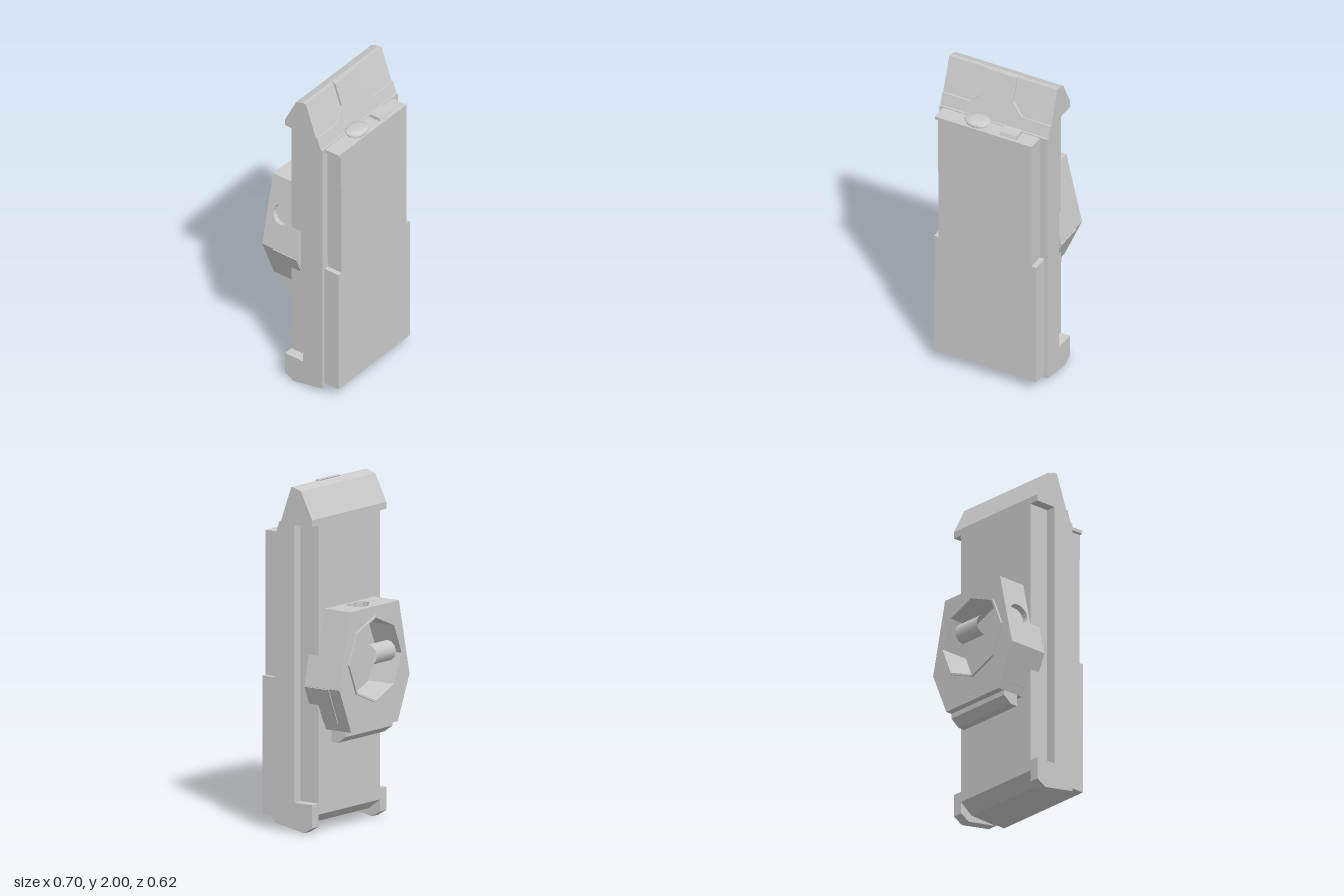
import * as THREE from 'three';

export function createModel() {
  const model = new THREE.Group();
  const mat = new THREE.MeshStandardMaterial({ color: 0xcccccc, flatShading: true });
  const openMat = new THREE.MeshStandardMaterial({ color: 0xcccccc, side: THREE.DoubleSide });

  const add = (name, geo, x = 0, y = 0, z = 0, material = mat) => {
    const mesh = new THREE.Mesh(geo, material);
    mesh.name = name;
    mesh.position.set(x, y, z);
    model.add(mesh);
    return mesh;
  };
  const toShape = (pts, hole) => {
    const shape = new THREE.Shape(pts.map(p => new THREE.Vector2(...p)));
    if (hole) shape.holes.push(new THREE.Path(hole.map(p => new THREE.Vector2(...p))));
    return shape;
  };
  const extrude = (pts, depth, hole) =>
    new THREE.ExtrudeGeometry(toShape(pts, hole), { depth, bevelEnabled: false });
  // profile points are [z, y], swept from x0 to x1
  const sweepX = (pts, x0, x1) => extrude(pts, x1 - x0).rotateY(-Math.PI / 2).translate(x1, 0, 0);
  const box = (name, x0, x1, y0, y1, z0, z1) =>
    add(name, new THREE.BoxGeometry(x1 - x0, y1 - y0, z1 - z0), (x0 + x1) / 2, (y0 + y1) / 2, (z0 + z1) / 2);
  const ring = (n, r, cx, cy, start = 0) => Array.from({ length: n }, (_, i) => {
    const a = start + i / n * Math.PI * 2;
    return [cx + r * Math.cos(a), cy + r * Math.sin(a)];
  });

  // Body: centre block, and side rails with a long channel cut in the back
  const head = [[-0.06, 1.82], [0.02, 1.978], [0.07, 1.995], [0.09, 1.995], [0.163, 1.79], [0.19, 1.72], [0.21, 1.72]];
  add('bodyCore', sweepX([[0.21, 0.04], [0.02, 0.045], [-0.06, 0.105], ...head], -0.29, 0.29));
  const rail = [[0.21, 0.04], [0, 0], [-0.06, 0.035], [-0.06, 0.17], [0.07, 0.17], [0.07, 1.78], [-0.06, 1.78], ...head];
  add('rightRail', sweepX(rail, -0.35, -0.29));
  add('leftRail', sweepX(rail, 0.29, 0.35));

  // Raised plate on the sloping head, sheared to follow the slope
  const plate = extrude([[-0.35, 1.72], [0.35, 1.72], [0.35, 1.79], [0.165, 1.79], [0.095, 1.86], [0.095, 2],
    [-0.095, 2], [-0.095, 1.86], [-0.165, 1.79], [-0.35, 1.79]], 0.03);
  const pos = plate.attributes.position;
  for (let i = 0; i < pos.count; i++) pos.setZ(i, pos.getZ(i) + 0.075 + (2 - pos.getY(i)) * 0.33);
  plate.computeVertexNormals();
  add('headPlate', plate);

  // Front panel, wider in its lower half, with a thin top flange
  add('frontPanel', extrude([[-0.33, 0.07], [0.33, 0.07], [0.33, 0.875], [0.3, 0.875], [0.3, 1.715],
    [-0.325, 1.715], [-0.325, 1.695], [-0.305, 1.695], [-0.3, 0.875], [-0.33, 0.875]], 0.1), 0, 0, 0.21);

  // Controls on top of the panel
  const knob = [[0, -0.01], [0.068, -0.01], [0.068, 0.012], [0.08, 0.02], [0.076, 0.027], [0.045, 0.037], [0, 0.04]];
  add('roundButton', new THREE.LatheGeometry(knob.map(p => new THREE.Vector2(...p)), 14).scale(1, 1, 0.8), -0.08, 1.715, 0.248);
  add('squareButton', sweepX([[0.295, 1.71], [0.21, 1.71], [0.22, 1.735], [0.285, 1.735]], 0.08, 0.19));

  // Rear housing: six wall slabs around a frame with an octagonal opening
  const hex = [[-0.23, 1.29], [0.23, 1.29], [0.33, 0.85], [0.22, 0.59], [-0.22, 0.59], [-0.33, 0.85]];
  const keyhole = [[-0.083, -0.125], [-0.075, -0.148], [-0.06, -0.16], [-0.033, -0.163], [-0.03, -0.175],
    [-0.005, -0.195], [0.027, -0.203], [0.06, -0.195], [0.08, -0.17], [0.09, -0.14], [0.08, -0.105],
    [0.06, -0.085], [0.025, -0.076], [-0.008, -0.088], [-0.035, -0.076], [-0.06, -0.083], [-0.078, -0.1]];
  const holes = { 0: keyhole.map(([x, z]) => [x + 0.23, z]), 5: ring(16, 0.063, 0.225, -0.138) };
  hex.forEach((a, i) => {
    const b = hex[(i + 1) % 6];
    const len = Math.hypot(b[0] - a[0], b[1] - a[1]);
    const u = new THREE.Vector3((b[0] - a[0]) / len, (b[1] - a[1]) / len, 0);
    const v = new THREE.Vector3(0, 0, 1);
    const m = new THREE.Matrix4().makeBasis(u, v, u.clone().cross(v)).setPosition(a[0], a[1], 0);
    const wall = extrude([[0, -0.24], [len, -0.24], [len, 0.01], [0, 0.01]], 0.04, holes[i]);
    add('housingWall', wall.applyMatrix4(m));
  });
  const inner = hex.map(([x, y]) => [x * 0.885, 0.94 + (y - 0.94) * 0.885]);
  const octagon = r => ring(8, r, 0, 0.985, Math.PI / 2);
  add('housingFrame', extrude(inner, 0.17, octagon(0.24)), 0, 0, -0.24);
  add('housingFloor', extrude(inner, 0.08), 0, 0, -0.07);
  add('openingRim', extrude(octagon(0.252), 0.02, octagon(0.24)), 0, 0, -0.252);

  // Side pads on the lower slopes, and the catch beneath the housing
  for (const s of [-1, 1]) {
    const pad = new THREE.BoxGeometry(0.04, 0.23, 0.17).rotateZ(-s * 0.4);
    add(s < 0 ? 'rightPad' : 'leftPad', pad, s * 0.271, 0.748, -0.078);
  }
  add('bottomCatch', sweepX([[-0.1, 0.6], [-0.1, 0.52], [-0.145, 0.52], [-0.2, 0.56], [-0.2, 0.6]], -0.22, 0.22));

  // Open half-round lug in the middle of the opening
  const lug = new THREE.CylinderGeometry(0.06, 0.06, 0.18, 6, 1, true, 0, Math.PI);
  lug.rotateZ(Math.PI / 2).rotateX(0);
  const lp = lug.attributes.position;
  lug.computeBoundingBox();
  // turn the half round so that it bulges to the back
  if (lug.boundingBox.max.y > 0.03) lug.rotateX(-Math.PI / 2);
  lp.needsUpdate = true;
  add('centreLug', lug, -0.02, 1.02, -0.25, openMat);

  return model;
}
